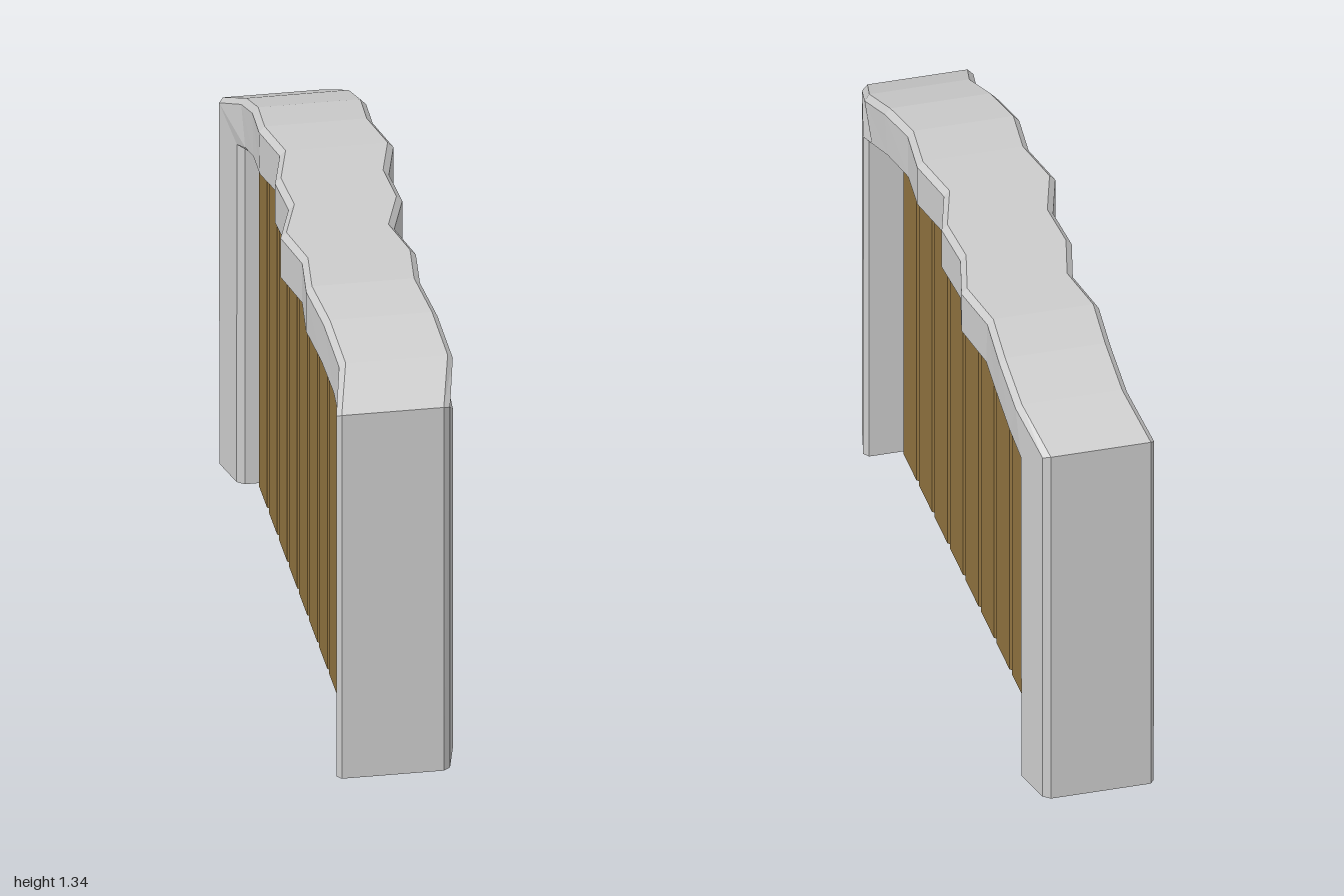
import * as THREE from 'three';

const HALF_WIDTH = 0.165, BEVEL = 0.017;

// Sideways wobble of the stone, sampled evenly from z = -1 to z = 1
const WOBBLE = [-0.025, 0.015, 0.02, 0.01, 0.042, 0, 0.01, -0.042, -0.008, -0.025, -0.002, 0.015, -0.025];
function wobble(z) {
  const t = THREE.MathUtils.clamp((z + 1) * 6, 0, 12);
  const i = Math.min(11, Math.floor(t));
  return THREE.MathUtils.lerp(WOBBLE[i], WOBBLE[i + 1], t - i);
}

// Frame stations for one half: outer z, outer y, inner z, inner y
const HALF = [
  [1, 0, 0.845, 0],
  [1, 1.17, 0.845, 1.08],
  [0.833, 1.25, 0.76, 1.11],
  [0.667, 1.305, 0.64, 1.145],
  [0.5, 1.33, 0.49, 1.165],
  [0.333, 1.335, 0.333, 1.175],
  [0.167, 1.335, 0.167, 1.175],
];

// Bevelled eight-sided cross-section at one station
function ring([oz, oy, iz, iy]) {
  const len = Math.hypot(oz - iz, oy - iy);
  const b = BEVEL / len, w = HALF_WIDTH, v = w - BEVEL;
  const section = [[v, 1], [w, 1 - b], [w, b], [v, 0], [-v, 0], [-w, b], [-w, 1 - b], [-v, 1]];
  return section.map(([x, t]) => {
    const z = THREE.MathUtils.lerp(iz, oz, t);
    return [x + wobble(z), THREE.MathUtils.lerp(iy, oy, t), z];
  });
}

function frameGeometry() {
  const mirrored = HALF.map(([oz, oy, iz, iy]) => [-oz, oy, -iz, iy]).reverse();
  const rings = [...HALF, [0, 1.335, 0, 1.175], ...mirrored].map(ring);
  const pos = [];
  const tri = (a, b, c) => pos.push(...a, ...b, ...c);
  for (let i = 0; i < rings.length - 1; i++) {
    const a = rings[i], b = rings[i + 1];
    for (let k = 0; k < 8; k++) {
      const n = (k + 1) % 8;
      tri(a[k], a[n], b[n]);
      tri(a[k], b[n], b[k]);
    }
  }
  // Feet of the two posts
  const first = rings[0], last = rings[rings.length - 1];
  for (let k = 1; k < 7; k++) {
    tri(first[0], first[k + 1], first[k]);
    tri(last[0], last[k], last[k + 1]);
  }
  const geo = new THREE.BufferGeometry();
  geo.setAttribute('position', new THREE.Float32BufferAttribute(pos, 3));
  geo.computeVertexNormals();
  return geo;
}

// Upright board with bevelled corners
function plankGeometry(width, depth, height) {
  const w = width / 2, d = depth / 2, c = 0.015;
  const shape = new THREE.Shape([
    [d, -w + c], [d, w - c], [d - c, w], [-d + c, w],
    [-d, w - c], [-d, -w + c], [-d + c, -w], [d - c, -w],
  ].map(([x, y]) => new THREE.Vector2(x, y)));
  return new THREE.ExtrudeGeometry(shape, { depth: height, bevelEnabled: false }).rotateX(-Math.PI / 2);
}

// Height of the arch's underside at z
function archUnderside(z) {
  const a = Math.abs(z);
  for (let i = 1; i < HALF.length - 1; i++) {
    const [, , z0, y0] = HALF[i], [, , z1, y1] = HALF[i + 1];
    if (a >= z1) return THREE.MathUtils.mapLinear(Math.min(a, z0), z1, z0, y1, y0);
  }
  return 1.175;
}

export function createModel() {
  const model = new THREE.Group();
  model.name = 'archedDoor';

  const stone = new THREE.MeshStandardMaterial({ color: 0xcccccc, flatShading: true });
  const wood = new THREE.MeshStandardMaterial({ color: 0x8f723f, flatShading: true });

  const frame = new THREE.Mesh(frameGeometry(), stone);
  frame.name = 'stoneFrame';
  model.add(frame);

  // Ten boards side by side, their tops tucked into the arch
  const planks = new THREE.Group();
  planks.name = 'doorPlanks';
  const pitch = 0.169;
  for (let i = 0; i < 10; i++) {
    const z = (i - 4.5) * pitch;
    const top = archUnderside(Math.abs(z) - pitch / 2) + 0.015;
    const plank = new THREE.Mesh(plankGeometry(pitch, 0.16, top), wood);
    plank.name = `plank${i + 1}`;
    plank.position.set(-0.018, 0, z);
    planks.add(plank);
  }
  model.add(planks);
  return model;
}
